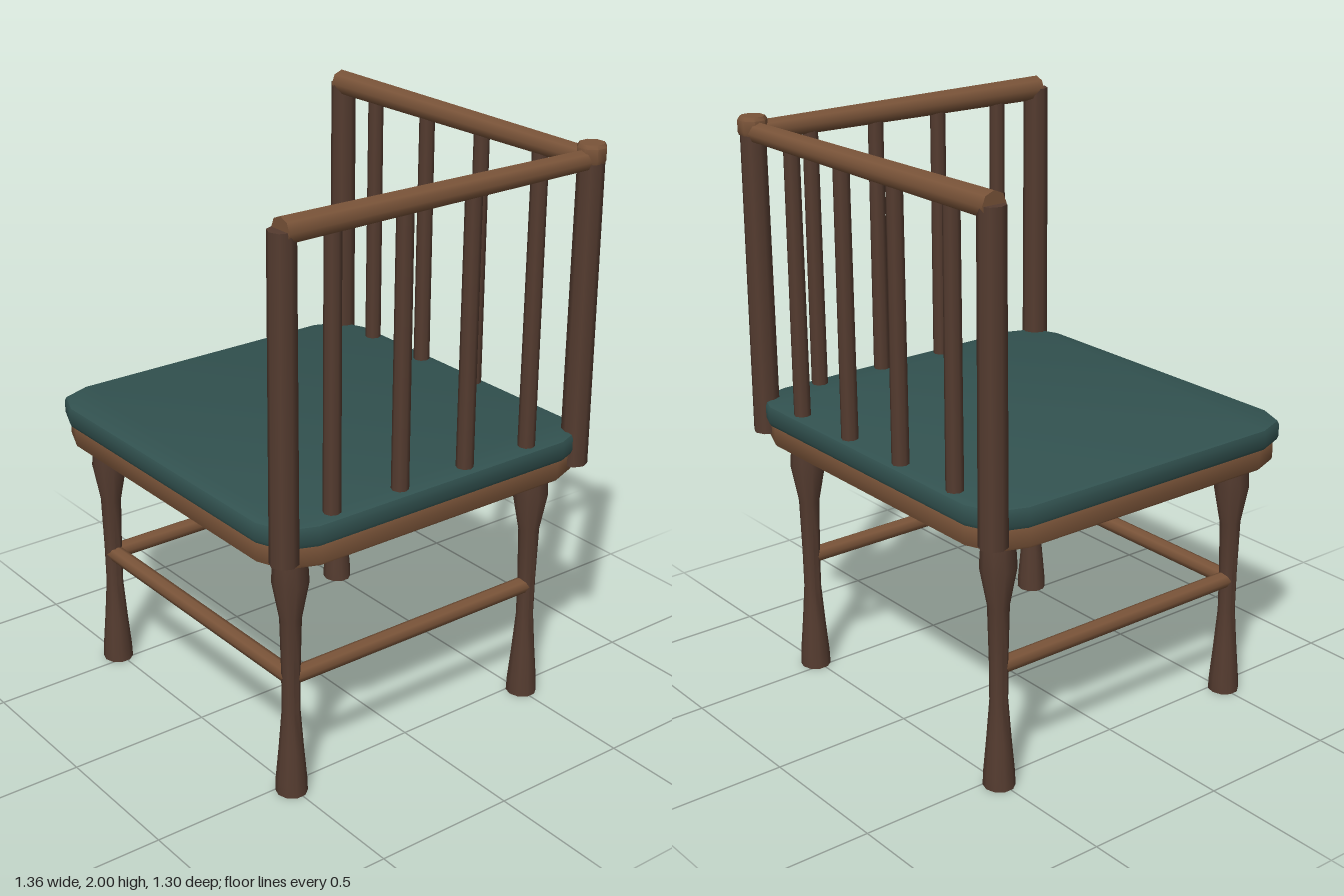
import * as THREE from 'three';
import { toCreasedNormals } from 'three/addons/utils/BufferGeometryUtils.js';

const railWood = new THREE.MeshStandardMaterial({ color: 0x7a5439 });
const darkWood = new THREE.MeshStandardMaterial({ color: 0x553c30 });
const fabric = new THREE.MeshStandardMaterial({ color: 0x325250 });

export function createModel() {
  const chair = new THREE.Group();

  function add(name, geometry, material, x = 0, y = 0, z = 0) {
    const mesh = new THREE.Mesh(geometry, material);
    mesh.name = name;
    mesh.position.set(x, y, z);
    chair.add(mesh);
    return mesh;
  }

  // Round bar between two points, radius r0 at the start and r1 at the end
  function bar(name, from, to, r0, r1, material, sides = 8) {
    const a = new THREE.Vector3(...from), b = new THREE.Vector3(...to);
    const dir = b.clone().sub(a);
    const mesh = add(name, new THREE.CylinderGeometry(r1, r0, dir.length(), sides), material);
    mesh.position.copy(a).add(b).multiplyScalar(0.5);
    mesh.quaternion.setFromUnitVectors(new THREE.Vector3(0, 1, 0), dir.normalize());
    return mesh;
  }

  // Flat slab with clipped corners and softened edges, bottom at y0
  function slab(name, w, d, y0, height, bevel, material) {
    const corner = [[w, d - 0.145], [w - 0.04, d - 0.04], [w - 0.14, d]];
    const back = [...corner].reverse();
    const outline = [
      ...corner,
      ...back.map(([x, z]) => [-x, z]),
      ...corner.map(([x, z]) => [-x, -z]),
      ...back.map(([x, z]) => [x, -z]),
    ].map(([x, z]) => new THREE.Vector2(x, z));
    const geometry = new THREE.ExtrudeGeometry(new THREE.Shape(outline), {
      depth: height - 2 * bevel, bevelEnabled: true, bevelThickness: bevel,
      bevelSize: bevel, bevelOffset: -bevel, bevelSegments: 2,
    });
    geometry.translate(0, 0, bevel).rotateX(-Math.PI / 2);
    add(name, toCreasedNormals(geometry, 0.6), material, 0, y0, 0);
  }

  slab('seatFrame', 0.67, 0.635, 0.875, 0.075, 0.01, railWood);
  slab('seatCushion', 0.682, 0.648, 0.945, 0.077, 0.018, fabric);

  // Turned legs
  const legProfile = [
    [0, 0], [0.055, 0], [0.053, 0.05], [0.042, 0.17], [0.031, 0.31], [0.032, 0.45],
    [0.037, 0.64], [0.062, 0.77], [0.055, 0.88], [0, 0.88],
  ].map(([r, y]) => new THREE.Vector2(r, y));
  const legGeometry = toCreasedNormals(new THREE.LatheGeometry(legProfile, 10), 0.9);
  const lx = 0.533, lz = 0.507;
  for (const x of [-lx, lx]) {
    for (const z of [-lz, lz]) {
      add('leg', legGeometry, darkWood, x, 0, z).scale.z = 0.95;
    }
    bar('sideStretcher', [x, 0.427, -lz], [x, 0.427, lz], 0.029, 0.029, railWood);
  }
  bar('frontStretcher', [-lx, 0.427, lz], [lx, 0.427, lz], 0.029, 0.029, railWood);

  // Posts; the two rails meet at the back left corner
  const px = 0.63, pz = 0.603;
  bar('backRightPost', [-px, 0.9, -pz], [-px, 1.95, -pz], 0.047, 0.044, darkWood);
  bar('frontLeftPost', [px - 0.004, 0.9, pz - 0.005], [px - 0.004, 1.95, pz - 0.005], 0.047, 0.044, darkWood);
  bar('cornerPost', [px, 0.9, -pz], [px, 1.96, -pz], 0.047, 0.044, darkWood);

  // Rounded cap on the corner post
  const capProfile = [[0, 0], [0.046, 0], [0.05, 0.012], [0.05, 0.05], [0.042, 0.062], [0, 0.062]]
    .map(([r, y]) => new THREE.Vector2(r, y));
  const cap = new THREE.LatheGeometry(capProfile, 8).rotateY(Math.PI / 8);
  add('cornerCap', toCreasedNormals(cap, 0.9), railWood, px, 1.938, -pz);

  // Top rails, slimmer toward the corner
  bar('backRail', [-0.642, 1.947, -pz], [px, 1.947, -pz], 0.045, 0.036, railWood);
  bar('sideRail', [px, 1.947, 0.605], [px, 1.947, -pz], 0.044, 0.035, railWood);

  // Spindles under both rails
  for (let i = 0; i < 4; i++) {
    const x = -0.443 + i * 0.281, z = 0.42 - i * 0.267;
    bar('backSpindle', [x, 0.94, -pz], [x, 1.94, -pz], 0.029, 0.027, darkWood);
    bar('sideSpindle', [px, 0.94, z], [px, 1.94, z], 0.029, 0.027, darkWood);
  }

  return chair;
}
